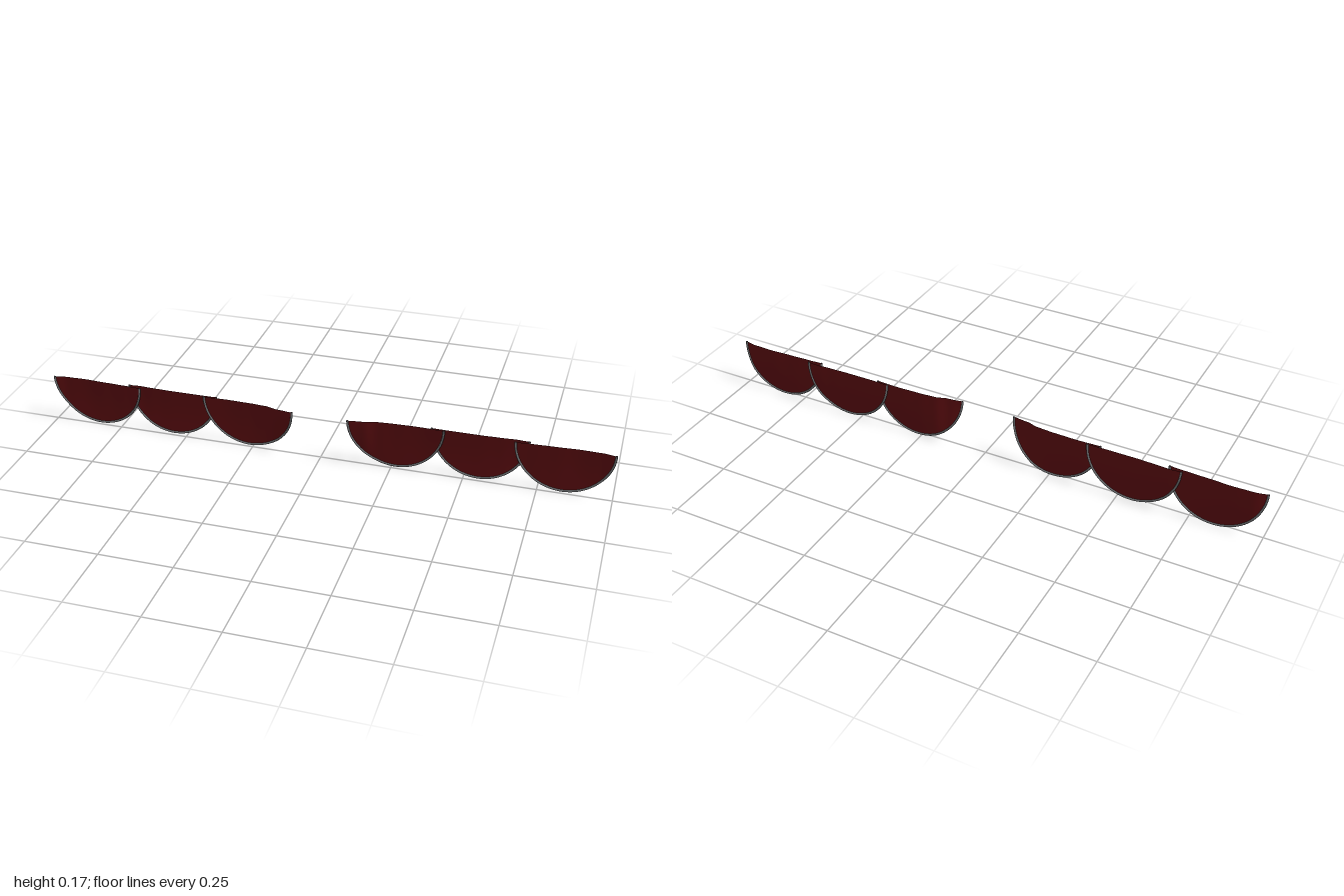
import * as THREE from 'three';

const TOP = 0.171, RX = 0.164, RY = 0.167, TRIM = 0.004;

// Each swag: centre x, z at the bottom, and [x, z] points along its hanging edge
const SWAGS = [
  { name: 'innerSwag', x: 0.263, low: -0.011,
    edge: [[0.095, 0.018], [0.15, 0.012], [0.2, -0.001], [0.26, -0.005], [0.34, -0.007], [0.431, -0.004]] },
  { name: 'middleSwag', x: 0.548, low: -0.014,
    edge: [[0.38, -0.012], [0.45, -0.011], [0.55, -0.011], [0.62, -0.013], [0.67, -0.016], [0.716, -0.013]] },
  { name: 'outerSwag', x: 0.832, low: -0.011,
    edge: [[0.664, 0.001], [0.72, -0.002], [0.8, -0.005], [0.88, -0.009], [0.95, -0.007], [1, 0.001]] },
];

// Smooth interpolation of z along the hanging edge
function edgeZ(edge, x) {
  let i = 0;
  while (i < edge.length - 2 && x > edge[i + 1][0]) i++;
  const [a, b] = [edge[i], edge[i + 1]];
  const t = THREE.MathUtils.smoothstep(x, a[0], b[0]);
  return a[1] + (b[1] - a[1]) * t;
}

// Depth of the draped cloth at any point of a swag
function drape(swag, x, y) {
  const v = (TOP - y) / RY;
  const z = THREE.MathUtils.lerp(edgeZ(swag.edge, Math.abs(x)), swag.low, v * v);
  return z - 0.003 * Math.sin(Math.PI * v);
}

export function createModel() {
  const cloth = new THREE.MeshStandardMaterial({ color: 0x5a0c0f, side: THREE.DoubleSide });
  cloth.name = 'dark red cloth';
  const trim = new THREE.MeshStandardMaterial({ color: 0x6c6e70, side: THREE.DoubleSide });
  trim.name = 'grey trim';

  const model = new THREE.Group();
  model.name = 'swagValance';

  for (const side of [-1, 1]) {
    const half = new THREE.Group();
    half.name = side > 0 ? 'leftValance' : 'rightValance';
    for (const swag of SWAGS) {
      const cx = side * swag.x;

      // Half-round cloth sheet, bent by the drape rule
      const sheet = new THREE.PlaneGeometry(2, 1, 36, 12);
      const p = sheet.attributes.position;
      for (let i = 0; i < p.count; i++) {
        const a = p.getX(i) * Math.PI / 2;
        const s = 0.5 - p.getY(i);
        const x = cx + RX * Math.sin(a);
        const y = TOP - s * RY * Math.cos(a);
        p.setXYZ(i, x, y, drape(swag, x, y));
      }
      sheet.computeVertexNormals();
      const panel = new THREE.Mesh(sheet, cloth);
      panel.name = swag.name;

      // Cord sewn along the curved hem
      const pts = [];
      for (let i = 0; i <= 28; i++) {
        const a = (i / 28 - 0.5) * Math.PI;
        const x = cx + RX * Math.sin(a);
        const y = TOP - RY * Math.cos(a);
        pts.push(new THREE.Vector3(x, y, drape(swag, x, y)));
      }
      const cord = new THREE.Mesh(
        new THREE.TubeGeometry(new THREE.CatmullRomCurve3(pts), 56, TRIM, 6), trim);
      cord.name = swag.name + 'Trim';
      half.add(panel, cord);
    }
    model.add(half);
  }
  return model;
}
